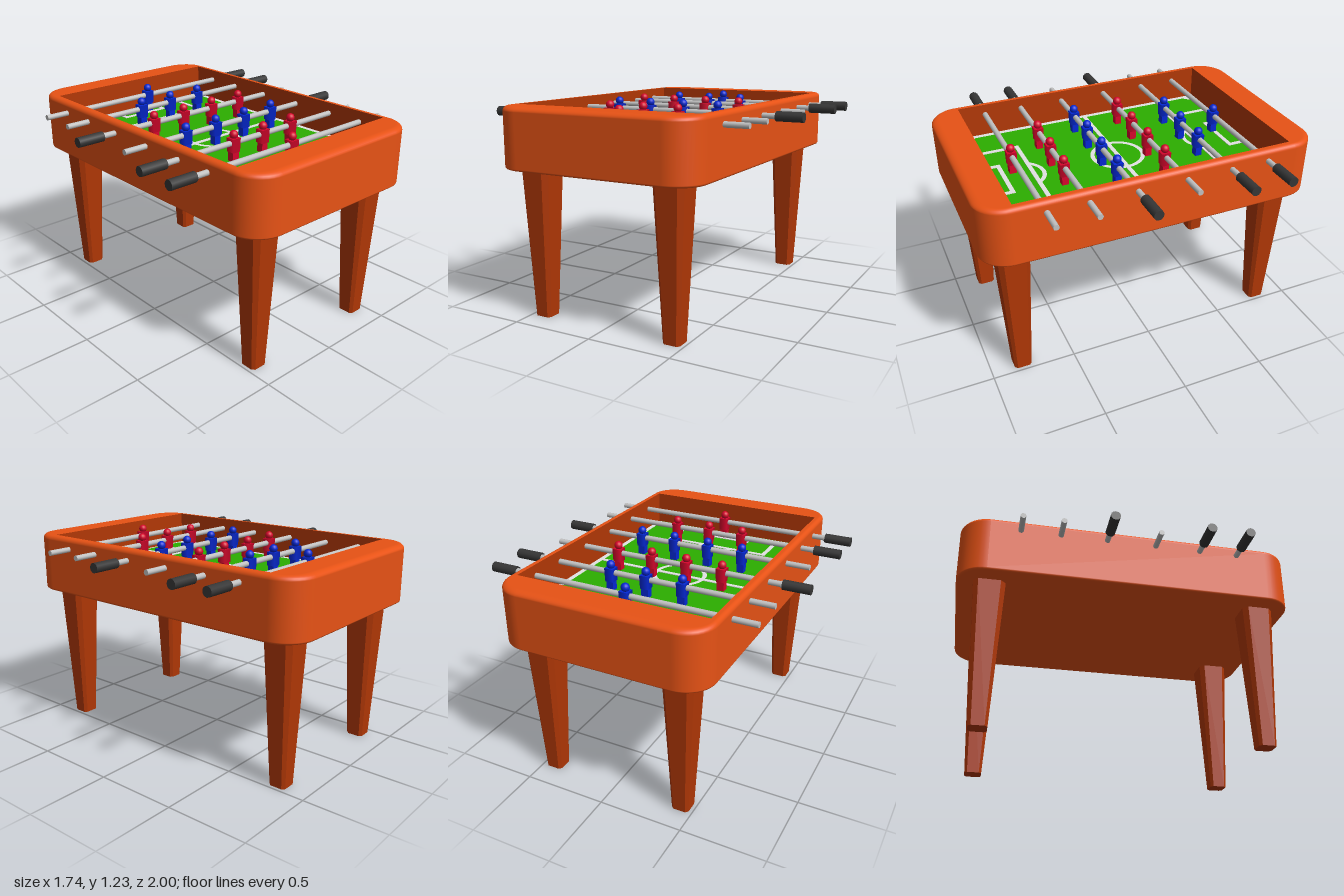
import * as THREE from 'three';

const mat = (name, color) => {
  const m = new THREE.MeshStandardMaterial({ color });
  m.name = name;
  return m;
};

export function createModel() {
  const model = new THREE.Group();
  model.name = 'tableFootball';
  const orange = mat('orange cabinet', 0xee5516);
  const brown = mat('dark orange wood', 0xb23805);
  const green = mat('field green', 0x2cae00);
  const white = mat('line grey', 0xe2e2e2);
  const steel = mat('steel', 0xc2c2c2);
  const black = mat('grip black', 0x363636);
  const blue = mat('blue team', 0x0428d4);
  const red = mat('red team', 0xd6042c);

  const add = (name, geo, material, x = 0, y = 0, z = 0, parent = model) => {
    const mesh = new THREE.Mesh(geo, material);
    mesh.name = name;
    mesh.position.set(x, y, z);
    parent.add(mesh);
    return mesh;
  };
  const box = (w, h, d) => new THREE.BoxGeometry(w, h, d);

  // Main dimensions
  const W = 0.622, L = 1, R = 0.17, Y0 = 0.87, Y1 = 1.22;
  const IX = 0.577, IZ = 0.815, FIELD = 1.015;

  // Rounded rectangle outline; the edge softening k is wider at the two ends
  const outline = (inset) => {
    const pts = [];
    for (let q = 0; q < 4; q++) {
      const sx = q === 0 || q === 3 ? 1 : -1, sz = q < 2 ? 1 : -1;
      for (let i = 0; i <= 10; i++) {
        const a = (q + i / 10) * Math.PI / 2, c = Math.cos(a), s = Math.sin(a);
        const k = 1 + 0.7 * Math.abs(s);
        pts.push({ x: sx * (W - R) + (R - inset) * c, z: sz * (L - R) + (R - inset * k) * s, c, s, k });
      }
    }
    return pts;
  };

  // Cabinet shell: rings swept along a profile with softened edges
  const rb = 0.014, rt = 0.027, profile = [];
  for (let i = 0; i <= 4; i++) {
    const p = (i / 4 - 1) * Math.PI / 2;
    profile.push([rb * (1 - Math.cos(p)), Y0 + rb * (1 + Math.sin(p)), p]);
  }
  for (let i = 0; i <= 6; i++) {
    const p = (i / 6) * Math.PI / 2;
    profile.push([rt * (1 - Math.cos(p)), Y1 - rt * (1 - Math.sin(p)), p]);
  }
  const pos = [], nor = [], idx = [], N = 44;
  profile.forEach(([inset, y, p], j) => {
    outline(inset).forEach((o, i) => {
      const n = new THREE.Vector3(o.c * Math.cos(p), o.k * Math.sin(p), o.s * Math.cos(p)).normalize();
      pos.push(o.x, y, o.z);
      nor.push(n.x, n.y, n.z);
      if (j < profile.length - 1) {
        const a = j * N + i, b = j * N + (i + 1) % N;
        idx.push(a, a + N, b, b, a + N, b + N);
      }
    });
  });
  const shell = new THREE.BufferGeometry();
  shell.setAttribute('position', new THREE.Float32BufferAttribute(pos, 3));
  shell.setAttribute('normal', new THREE.Float32BufferAttribute(nor, 3));
  shell.setIndex(idx);
  add('cabinetShell', shell, orange);

  // Top rim with the rectangular opening, and the underside
  const shapeOf = (pts) => new THREE.Shape(pts.map((p) => new THREE.Vector2(p[0], p[1])));
  const rect = (x, z) => [[-x, -z], [x, -z], [x, z], [-x, z]];
  const rim = shapeOf(outline(rt).map((o) => [o.x, o.z]));
  rim.holes.push(shapeOf(rect(IX, IZ)));
  add('topRim', new THREE.ShapeGeometry(rim).rotateX(-Math.PI / 2), orange, 0, Y1, 0);
  const under = shapeOf(outline(rb).map((o) => [o.x, o.z]));
  add('underside', new THREE.ShapeGeometry(under).rotateX(Math.PI / 2), orange, 0, Y0, 0);

  // Inner walls
  const wallH = Y1 - FIELD, wallY = (Y1 + FIELD) / 2;
  for (const s of [-1, 1]) {
    add('innerSideWall', new THREE.PlaneGeometry(2 * IZ, wallH).rotateY(-s * Math.PI / 2), brown, s * IX, wallY, 0);
    add('innerEndWall', new THREE.PlaneGeometry(2 * IX, wallH).rotateY(s > 0 ? Math.PI : 0), brown, 0, wallY, s * IZ);
  }

  // Playing field and its markings
  add('field', box(2 * IX, 0.02, 2 * IZ), green, 0, FIELD - 0.01, 0);
  const T = 0.026, MY = FIELD + 0.002;
  const line = (name, w, d, x, z) => add(name, box(w, 0.004, d), white, x, MY, z);
  const flat = (name, geo, z) => add(name, geo.rotateX(-Math.PI / 2), white, 0, FIELD + 0.004, z);

  const border = shapeOf([[-IX, -0.803], [IX, -0.803], [IX, IZ], [-IX, IZ]]);
  const gx = 0.546, gz = 0.785, ch = 0.05;
  border.holes.push(shapeOf([
    [gx, gz - ch], [gx - ch, gz], [ch - gx, gz], [-gx, gz - ch],
    [-gx, ch - gz], [ch - gx, -gz], [gx - ch, -gz], [gx, ch - gz],
  ]));
  flat('fieldBorder', new THREE.ShapeGeometry(border), 0);
  line('halfwayLine', 2 * gx, T, 0, -0.005);
  flat('centreCircle', new THREE.RingGeometry(0.14, 0.166, 40), -0.005);
  for (const s of [-1, 1]) {
    for (const [name, hw, z] of [['penaltyArea', 0.35, 0.515], ['goalArea', 0.167, 0.685]]) {
      line(name + 'Front', 2 * hw, T, 0, s * (z + T / 2));
      for (const e of [-1, 1]) line(name + 'Side', T, gz - z, e * (hw - T / 2), s * (z + gz) / 2);
    }
    flat('penaltyArc', new THREE.RingGeometry(0.125, 0.15, 20, 1, s * Math.PI / 2 - 0.97, 1.94), s * 0.605);
  }

  // Tapered legs with chamfered corners
  const k = 0.7;
  const legShape = shapeOf([[1, -k], [1, k], [k, 1], [-k, 1], [-1, k], [-1, -k], [-k, -1], [k, -1]]);
  const legH = Y0 + 0.003;
  const legGeo = new THREE.ExtrudeGeometry(legShape, { depth: legH, bevelEnabled: false }).rotateX(-Math.PI / 2);
  const lp = legGeo.attributes.position;
  for (let i = 0; i < lp.count; i++) {
    const h = 0.052 + 0.041 * lp.getY(i) / legH;
    lp.setX(i, lp.getX(i) * h);
    lp.setZ(i, lp.getZ(i) * h);
  }
  legGeo.computeVertexNormals();
  for (const sx of [-1, 1]) for (const sz of [-1, 1]) add('leg', legGeo, brown, sx * 0.426, 0, sz * 0.81);

  // Player figure, hung on the rod at local y = 0
  const headGeo = new THREE.SphereGeometry(0.025, 14, 10);
  const torsoGeo = new THREE.CylinderGeometry(0.039, 0.036, 0.08, 4, 1).rotateY(Math.PI / 4);
  const legsGeo = box(0.044, 0.055, 0.04);
  const player = (parent, x, m) => {
    const g = new THREE.Group();
    g.name = 'player';
    g.position.x = x;
    add('head', headGeo, m, 0, 0.047, 0, g);
    add('torso', torsoGeo, m, 0, -0.012, 0, g);
    add('legs', legsGeo, m, 0, -0.078, 0, g);
    parent.add(g);
  };

  // Rods: z, side of the grip, team colour, player positions
  const four = [-0.34, -0.115, 0.112, 0.34], three = [-0.227, 0, 0.227];
  const rods = [
    [-0.655, 1, blue, [-0.005]], [-0.423, 1, blue, three], [-0.148, -1, red, four],
    [0.145, 1, blue, four], [0.418, -1, red, three], [0.65, -1, red, [-0.01]],
  ];
  const along = (r, len, n) => new THREE.CylinderGeometry(r, r, len, n).rotateZ(Math.PI / 2);
  const rodGeo = along(0.0165, 1.49, 12);
  const gripGeo = along(0.029, 0.163, 12);
  const collarGeo = along(0.02, 0.012, 12);
  for (const [z, s, m, xs] of rods) {
    const g = new THREE.Group();
    g.name = 'rodAssembly';
    g.position.set(0, 1.154, z);
    add('rod', rodGeo, steel, -s * 0.02, 0, 0, g);
    add('grip', gripGeo, black, s * 0.787, 0, 0, g);
    add('gripCollar', collarGeo, steel, s * 0.7, 0, 0, g);
    xs.forEach((x) => player(g, x, m));
    model.add(g);
  }
  return model;
}
